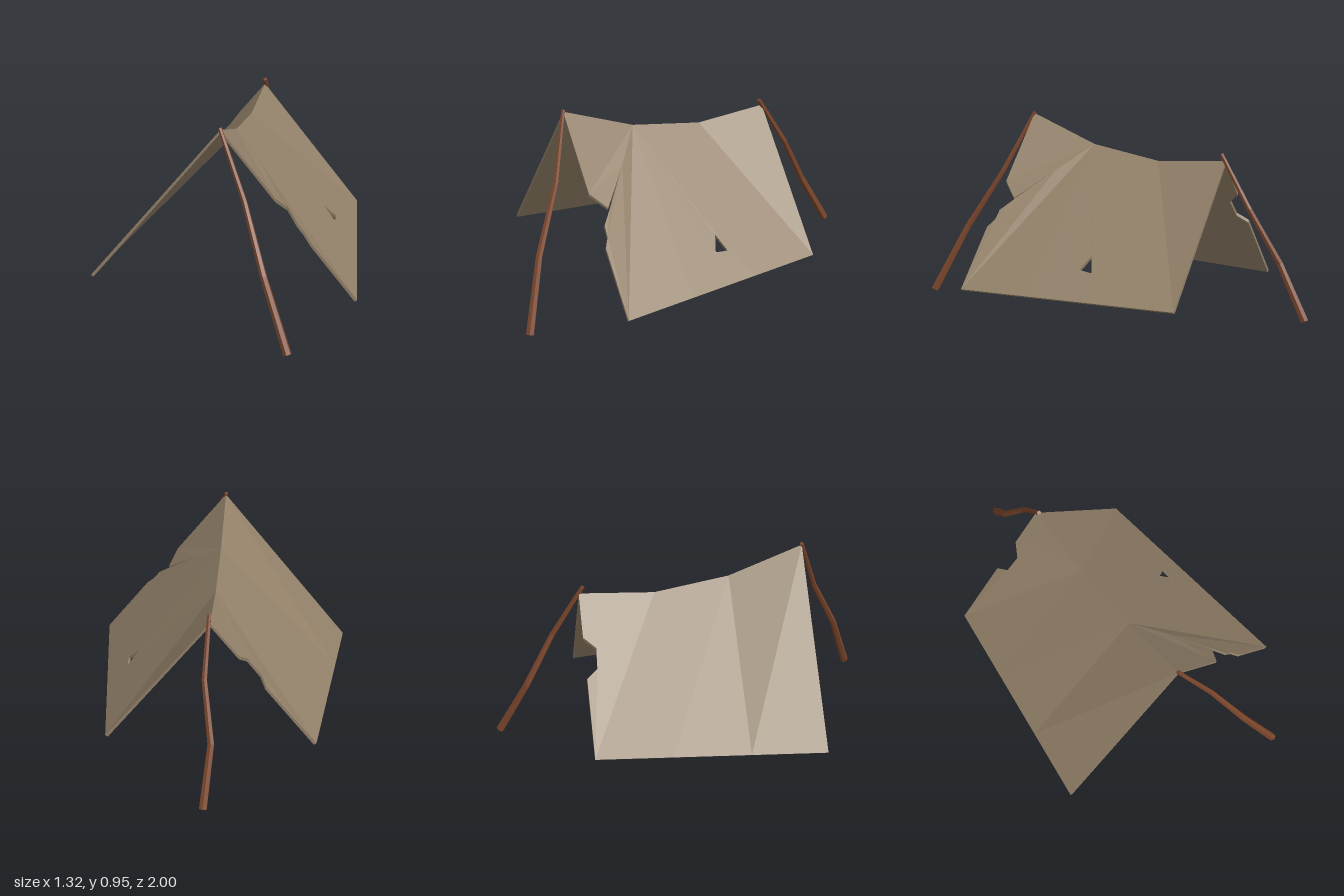
import * as THREE from 'three';

const cloth = new THREE.MeshStandardMaterial({ color: 0x94826a, flatShading: true });
const wood = new THREE.MeshStandardMaterial({ color: 0x7a452b, flatShading: true });

// Sagging ridge line as [z, y], front to back
const RIDGE = [[0.595, 0.935], [0.22, 0.795], [-0.16, 0.735], [-0.54, 0.762]];
const HEM_Y = 0.114;
const halfWidth = (z) => THREE.MathUtils.mapLinear(z, 0.595, -0.54, 0.66, 0.52);

// Torn edges and hole as [z, t], where t runs from ridge (0) to hem (1)
const frontTear = [[0.595, 0.4], [0.516, 0.472], [0.36, 0.246], [0.513, 0.482],
  [0.565, 0.555], [0.568, 0.61], [0.595, 0.66]];
const backTear = [[-0.54, 0.52], [-0.485, 0.46], [-0.48, 0.335], [-0.54, 0.27]];
const hole = [[-0.02, 0.7], [0.012, 0.8], [-0.058, 0.81]];

const toPoints = (list) => list.map(([z, t]) => new THREE.Vector2(z, t));

// One strip of cloth between two ridge points, bent from a flat (z, t) shape
function clothPanel(side, i, frontCut, backCut, holes) {
  const [za, ya] = RIDGE[i], [zb, yb] = RIDGE[i + 1];
  const shape = new THREE.Shape(toPoints(
    [[za, 0], ...frontCut, [za, 1], [zb, 1], ...backCut, [zb, 0]]));
  for (const h of holes) shape.holes.push(new THREE.Path(toPoints(h)));
  const geo = new THREE.ExtrudeGeometry(shape, { depth: 1, bevelEnabled: false });
  const pos = geo.attributes.position;
  for (let k = 0; k < pos.count; k++) {
    const z = pos.getX(k), t = pos.getY(k), d = pos.getZ(k);
    const inner = side > 0 ? 1 - d : d;
    const ridgeY = THREE.MathUtils.mapLinear(z, za, zb, ya, yb);
    const x = halfWidth(z) * t - inner * 0.012 * t;
    const y = THREE.MathUtils.lerp(ridgeY, HEM_Y, t) - inner * (0.018 - 0.009 * t);
    pos.setXYZ(k, side * x, y, z);
  }
  geo.computeVertexNormals();
  return new THREE.Mesh(geo, cloth);
}

function clothSide(name, side, frontCut, backCut, holes) {
  const group = new THREE.Group();
  group.name = name;
  for (let i = 0; i < 3; i++) {
    const panel = clothPanel(side, i, i === 0 ? frontCut : [], i === 2 ? backCut : [],
      i === 1 ? holes : []);
    panel.name = name + 'Panel' + (i + 1);
    group.add(panel);
  }
  return group;
}

// Crooked six-sided pole through the given points, thicker towards the foot
function pole(name, points, topRadius, footRadius) {
  const pts = points.map((p) => new THREE.Vector3(...p));
  const n = pts.length - 1;
  const geo = new THREE.CylinderGeometry(topRadius, footRadius, 1, 6, n);
  const pos = geo.attributes.position;
  const up = new THREE.Vector3(0, 1, 0);
  const turns = pts.map((p, i) => {
    const dir = pts[Math.max(i - 1, 0)].clone().sub(pts[Math.min(i + 1, n)]).normalize();
    return new THREE.Quaternion().setFromUnitVectors(up, dir);
  });
  const v = new THREE.Vector3();
  for (let k = 0; k < pos.count; k++) {
    const i = Math.round((0.5 - pos.getY(k)) * n);
    v.set(pos.getX(k), 0, pos.getZ(k)).applyQuaternion(turns[i]).add(pts[i]);
    pos.setXYZ(k, v.x, v.y, v.z);
  }
  geo.computeVertexNormals();
  const mesh = new THREE.Mesh(geo, wood);
  mesh.name = name;
  return mesh;
}

export function createModel() {
  const model = new THREE.Group();
  model.name = 'tornTent';
  model.add(
    clothSide('leftCloth', 1, frontTear, [], [hole]),
    clothSide('rightCloth', -1, [], backTear, []),
    pole('frontPole', [[-0.003, 0.943, 0.593], [0.135, 0.635, 0.707],
      [0.255, 0.335, 0.86], [0.39, 0.01, 0.981]], 0.01, 0.021),
    pole('backPole', [[0.005, 0.795, -0.518], [0.016, 0.535, -0.68],
      [-0.025, 0.275, -0.828], [0.002, 0.011, -0.977]], 0.011, 0.021),
  );
  return model;
}
